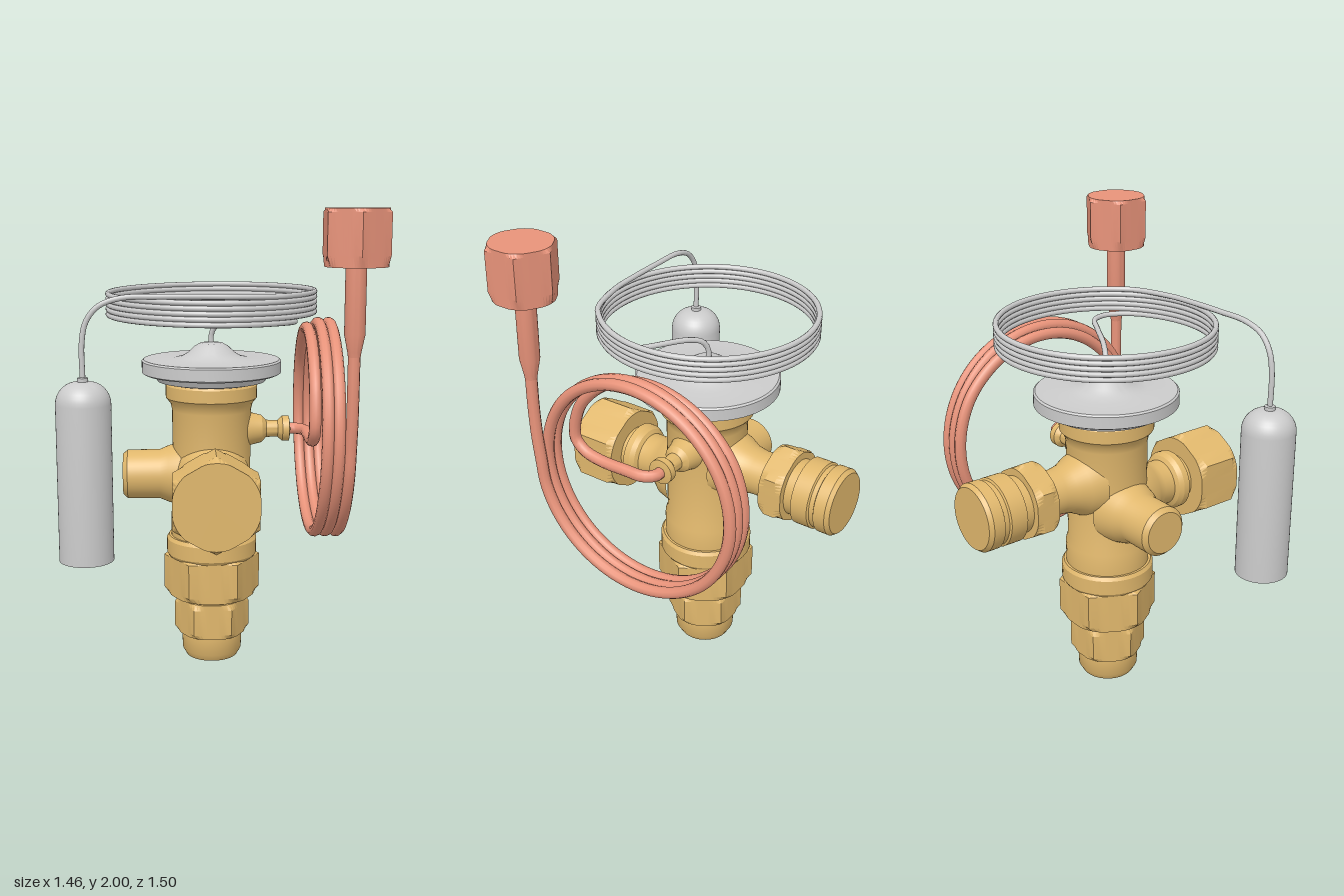
import * as THREE from 'three';
import { toCreasedNormals } from 'three/addons/utils/BufferGeometryUtils.js';

const brass = new THREE.MeshStandardMaterial({ color: 0xe0b76c });
const copper = new THREE.MeshStandardMaterial({ color: 0xe8937a });
const steel = new THREE.MeshStandardMaterial({ color: 0xcccccc });

const V = (x, y, z) => new THREE.Vector3(x, y, z);

function add(parent, name, geometry, material) {
  const mesh = new THREE.Mesh(geometry, material);
  mesh.name = name;
  parent.add(mesh);
  return mesh;
}

// Turned part from [radius, height] pairs, listed bottom to top
function turned(profile, segments = 48) {
  const points = profile.map(([r, y]) => new THREE.Vector2(r, y));
  return toCreasedNormals(new THREE.LatheGeometry(points, segments), 0.5);
}

// Hexagonal nut with chamfered corners; r is the corner radius
function hexNut(r, y0, y1, { low = 0.03, high = 0.03, phase = 0 } = {}) {
  const end = r * 0.89;
  const points = [[0, y0], [end, y0], [r, y0 + low], [r, y1 - high], [end, y1], [0, y1]]
    .map(([x, y]) => new THREE.Vector2(x, y));
  const geometry = new THREE.LatheGeometry(points, 72);
  const pos = geometry.attributes.position;
  const sector = Math.PI / 3;
  for (let i = 0; i < pos.count; i++) {
    const x = pos.getX(i), z = pos.getZ(i), d = Math.hypot(x, z);
    if (d < 1e-6) continue;
    let a = (Math.atan2(x, z) - phase) % sector;
    if (a < 0) a += sector;
    const limit = r * Math.cos(sector / 2) / Math.cos(a - sector / 2);
    const k = Math.min(1, limit / d);
    pos.setX(i, x * k);
    pos.setZ(i, z * k);
  }
  return toCreasedNormals(geometry, 0.25);
}

function tube(points, radius, segments) {
  const curve = new THREE.CatmullRomCurve3(points, false, 'centripetal');
  return new THREE.TubeGeometry(curve, segments, radius, 10);
}

// Group whose own y axis points sideways out of the valve body
function port(parent, name, height, rx, rz) {
  const group = new THREE.Group();
  group.name = name;
  group.position.y = height;
  group.rotation.set(rx, 0, rz);
  parent.add(group);
  return group;
}

export function createModel() {
  const model = new THREE.Group();
  model.name = 'expansionValve';

  // Valve frame: origin on the body axis, turned so the ports lie on x and z
  const valve = new THREE.Group();
  valve.name = 'valve';
  valve.position.set(-0.11, 0, -0.035);
  valve.rotation.y = -35.3 * Math.PI / 180;
  model.add(valve);

  // Body column
  add(valve, 'body', turned([
    [0, 0.47], [0.19, 0.47], [0.2, 0.485], [0.2, 0.55], [0.19, 0.565], [0.18, 0.565],
    [0.18, 0.66], [0.17, 0.69], [0.173, 1.13], [0.18, 1.16], [0.2, 1.185], [0.2, 1.24],
    [0.19, 1.255], [0, 1.255]]), brass);
  add(valve, 'bodyNut', hexNut(0.213, 0.29, 0.48, { low: 0.025, high: 0.012 }), brass);
  add(valve, 'lowerNeck', turned([[0.14, 0.25], [0.14, 0.3]]), brass);
  add(valve, 'capNut', hexNut(0.167, 0.11, 0.27, { low: 0.02, high: 0.025 }), brass);
  add(valve, 'bottomCap', turned([[0, 0], [0.115, 0], [0.132, 0.03], [0.135, 0.1], [0.135, 0.12]]), brass);

  // Outlet with a large nut
  const outlet = port(valve, 'outletPort', 0.84, 0, -Math.PI / 2);
  add(outlet, 'outletNeck', turned([
    [0.165, 0.1], [0.145, 0.17], [0.115, 0.21], [0.1, 0.25], [0.1, 0.3], [0.118, 0.31],
    [0.13, 0.33], [0.13, 0.36], [0.105, 0.37], [0.105, 0.41]]), brass);
  add(outlet, 'outletNut', hexNut(0.203, 0.39, 0.6, { phase: Math.PI / 6 }), brass);

  // Inlet with a hexagon and a threaded end
  const inlet = port(valve, 'inletPort', 0.96, 0, Math.PI / 2);
  add(inlet, 'inletNeck', turned([
    [0.15, 0.1], [0.13, 0.17], [0.105, 0.22], [0.096, 0.27], [0.096, 0.38]]), brass);
  add(inlet, 'inletHex', hexNut(0.17, 0.35, 0.455, { phase: Math.PI / 6 }), brass);
  add(inlet, 'inletEnd', turned([
    [0.12, 0.44], [0.12, 0.49], [0.143, 0.5], [0.143, 0.575], [0.134, 0.58], [0.134, 0.6],
    [0.143, 0.605], [0.143, 0.655], [0.13, 0.672], [0, 0.672]]), brass);

  // Adjusting stub at the front
  const stub = port(valve, 'adjustingStub', 0.84, Math.PI / 2, 0);
  add(stub, 'stubCap', turned([
    [0.15, 0.1], [0.125, 0.19], [0.108, 0.23], [0.108, 0.37], [0.09, 0.39], [0, 0.39]]), brass);

  // Small equalizer fitting at the back
  const fitting = port(valve, 'equalizerFitting', 1.04, -Math.PI / 2, 0);
  add(fitting, 'fittingBody', turned([
    [0.09, 0.12], [0.07, 0.18], [0.06, 0.22], [0.038, 0.24], [0.036, 0.29], [0.055, 0.31],
    [0.055, 0.34], [0.03, 0.345], [0, 0.345]], 32), brass);

  // Copper equalizer line: out of the fitting, three turns, then straight up
  const line = [V(0, 1.04, -0.32), V(0, 1.04, -0.37), V(0.04, 1.04, -0.405), V(0.12, 1.04, -0.41),
    V(0.26, 1.04, -0.41), V(0.34, 1.06, -0.41), V(0.385, 1.11, -0.41)];
  const steps = 24, turns = 3;
  for (let i = 2; i <= steps * turns; i++) {
    const a = i / steps * Math.PI * 2;
    const r = 0.458 - 0.055 * Math.max(0, 1 - i / 10);
    line.push(V(r * Math.cos(a), 1.045 + r * Math.sin(a), -0.408 - 0.14 * i / (steps * turns)));
  }
  line.push(V(0.47, 1.15, -0.549), V(0.478, 1.28, -0.549), V(0.48, 1.45, -0.549));
  add(valve, 'equalizerLine', tube(line, 0.025, 400), copper);

  // Sleeve and flare nut on top of the line
  const lineEnd = new THREE.Group();
  lineEnd.name = 'lineEnd';
  lineEnd.position.set(0.48, 0, -0.549);
  valve.add(lineEnd);
  add(lineEnd, 'sleeve', turned([
    [0.025, 1.42], [0.028, 1.44], [0.042, 1.51], [0.042, 1.8]], 32), copper);
  add(lineEnd, 'flareNut', hexNut(0.143, 1.775, 2, { low: 0.045, high: 0.015, phase: Math.PI / 6 }), copper);

  // Diaphragm housing
  add(valve, 'diaphragmHousing', turned([
    [0, 1.25], [0.2, 1.25], [0.235, 1.258], [0.25, 1.285], [0.29, 1.288], [0.303, 1.295],
    [0.303, 1.345], [0.295, 1.352], [0.17, 1.352], [0.13, 1.362], [0.1, 1.38],
    [0.075, 1.405], [0.05, 1.42], [0, 1.425]], 64), steel);

  // Sensing bulb with rounded top and a bottom nub
  const bulb = new THREE.Group();
  bulb.name = 'sensingBulb';
  bulb.position.set(-0.07, 0, 0.64);
  model.add(bulb);
  const profile = [[0, 0.55], [0.018, 0.555], [0.025, 0.57], [0.025, 0.58], [0.112, 0.58]];
  for (let i = 0; i <= 8; i++) {
    const a = i / 8 * Math.PI / 2;
    profile.push([0.022 + 0.09 * Math.cos(a), 1.23 + 0.09 * Math.sin(a)]);
  }
  profile.push([0.022, 1.335], [0, 1.34]);
  add(bulb, 'bulb', turned(profile), steel);

  // Capillary: from the bulb, round the coil and down into the housing
  const capillary = [V(-0.07, 1.32, 0.64), V(-0.07, 1.48, 0.64), V(-0.06, 1.56, 0.625),
    V(-0.03, 1.62, 0.585), V(0.02, 1.651, 0.51), V(0.1, 1.655, 0.395), V(0.2, 1.655, 0.25), V(0.27, 1.653, 0.14)];
  const coilSteps = 36, coilTurns = 5;
  for (let i = 0; i <= coilSteps * coilTurns; i++) {
    const a = i / coilSteps * Math.PI * 2;
    capillary.push(V(-0.11 + 0.443 * Math.cos(a), 1.65 - 0.108 * i / (coilSteps * coilTurns),
      -0.035 - 0.443 * Math.sin(a)));
  }
  capillary.push(V(0.32, 1.54, -0.11), V(0.29, 1.538, -0.165), V(0.225, 1.535, -0.19),
    V(0.13, 1.53, -0.15), V(-0.03, 1.52, -0.072), V(-0.085, 1.5, -0.047), V(-0.11, 1.46, -0.035), V(-0.11, 1.4, -0.035));
  add(model, 'capillaryTube', tube(capillary, 0.0115, 640), steel);

  return model;
}
